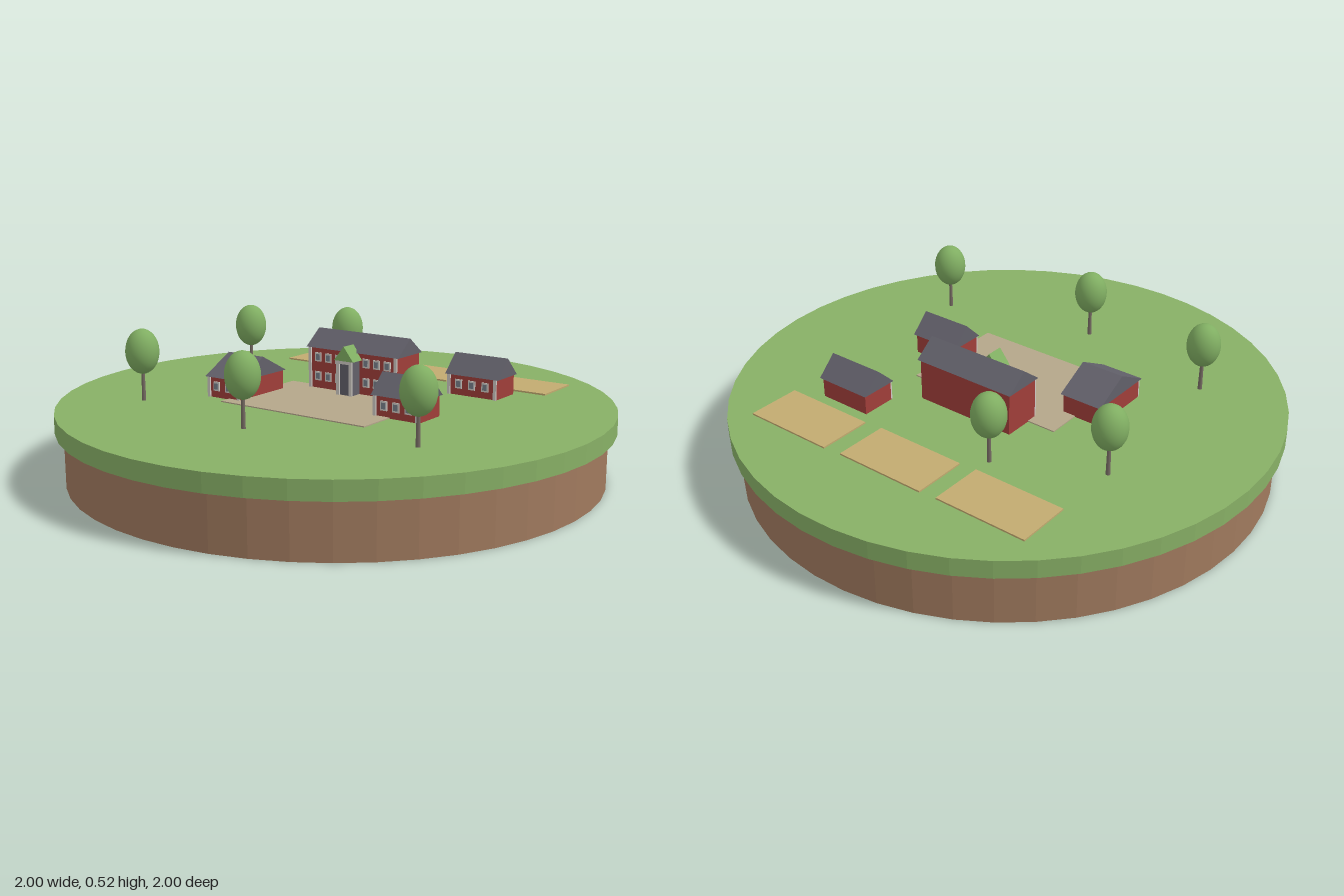
import * as THREE from 'three';

const GROUND = 0.262;
const YAW = -0.357; // the whole village is turned the same way

const material = (name, color) => {
  const m = new THREE.MeshStandardMaterial({ color });
  m.name = name;
  return m;
};

export function createModel() {
  const mats = {
    grass: material('grass green', 0x88b066),
    earth: material('earth brown', 0xa07a5e),
    brick: material('brick red', 0xa03e3a),
    roof: material('slate grey', 0x62606a),
    trim: material('pale trim', 0xcfcac4),
    glass: material('window grey', 0x77808a),
    field: material('straw', 0xc2ab70),
    paving: material('paving', 0xb4a68a),
    bark: material('bark', 0x756a62),
    leaf: material('leaf green', 0x80ae62),
  };
  const model = new THREE.Group();
  model.name = 'villageIsland';

  const add = (parent, name, geometry, mat, x = 0, y = 0, z = 0) => {
    const mesh = new THREE.Mesh(geometry, mat);
    mesh.name = name;
    mesh.position.set(x, y, z);
    parent.add(mesh);
    return mesh;
  };
  const box = (parent, name, w, h, d, mat, x, y, z) =>
    add(parent, name, new THREE.BoxGeometry(w, h, d), mat, x, y + h / 2, z);

  // Faceted disc standing on y
  const disc = (name, r, h, mat, y) => {
    const g = new THREE.CylinderGeometry(r, r, h, 48).toNonIndexed();
    g.computeVertexNormals();
    add(model, name, g, mat, 0, y + h / 2, 0);
  };
  disc('earthBase', 0.97, 0.196, mats.earth, 0);
  disc('grassTop', 1, GROUND - 0.196, mats.grass, 0.196);

  // Solid gable roof, ridge along z
  const gable = (w, h, d) => {
    const s = new THREE.Shape();
    s.moveTo(-w / 2, 0);
    s.lineTo(w / 2, 0);
    s.lineTo(0, h);
    s.closePath();
    return new THREE.ExtrudeGeometry(s, { depth: d, bevelEnabled: false }).translate(0, 0, -d / 2);
  };

  // Flat plots: the courtyard and the fields
  const plot = (name, x, z, w, d, h, mat) => {
    box(model, name, w, h, d, mat, x, GROUND, z).rotation.y = YAW;
  };
  plot('courtyard', -0.02, 0.065, 0.625, 0.42, 0.004, mats.paving);
  [[-0.19, -0.695], [0.2, -0.555], [0.595, -0.415]].forEach(([x, z], i) =>
    plot('field' + (i + 1), x, z, 0.35, 0.2, 0.006, mats.field));

  // Brick house with windows and corner strips on its front
  const house = (name, x, z, w, d, wallH, roofH, columns, rows) => {
    const g = new THREE.Group();
    g.name = name;
    g.position.set(x, GROUND, z);
    g.rotation.y = YAW;
    model.add(g);
    const over = 0.008;
    box(g, 'walls', w - 2 * over, wallH, d - 2 * over, mats.brick, 0, 0, 0);
    add(g, 'roof', gable(d, roofH, w), mats.roof, 0, wallH, 0).rotation.y = Math.PI / 2;
    const front = d / 2 - over;
    for (const side of [-1, 1])
      box(g, 'cornerStrip', 0.012, wallH, 0.006, mats.trim, side * (w / 2 - over - 0.006), 0, front + 0.003);
    for (const cx of columns) for (const cy of rows) {
      box(g, 'windowFrame', 0.028, 0.034, 0.004, mats.trim, cx, cy - 0.017, front + 0.002);
      box(g, 'windowPane', 0.017, 0.022, 0.002, mats.glass, cx, cy - 0.011, front + 0.005);
    }
    return g;
  };
  const main = house('mainHouse', 0.06, -0.165, 0.41, 0.16, 0.157, 0.062,
    [-0.155, -0.108, -0.062, 0.062, 0.108, 0.155], [0.05, 0.122]);
  house('leftHouse', -0.35, -0.015, 0.165, 0.265, 0.075, 0.07, [-0.034, 0.022], [0.042]);
  house('rightHouse', 0.3, 0.18, 0.2, 0.145, 0.075, 0.07, [-0.05, 0, 0.05], [0.042]);
  house('backHouse', 0.49, -0.23, 0.22, 0.145, 0.075, 0.07, [-0.055, 0, 0.055], [0.042]);

  // Entrance porch with a green gable
  const porch = new THREE.Group();
  porch.name = 'porch';
  porch.position.set(0, 0, 0.095);
  main.add(porch);
  box(porch, 'porchBody', 0.064, 0.132, 0.05, mats.roof, 0, 0, 0);
  for (const side of [-1, 1])
    box(porch, 'porchPost', 0.012, 0.132, 0.008, mats.trim, side * 0.028, 0, 0.027);
  box(porch, 'porchLintel', 0.068, 0.012, 0.008, mats.trim, 0, 0.12, 0.027);
  add(porch, 'porchRoof', gable(0.086, 0.054, 0.062), mats.leaf, 0, 0.132, 0.002);

  // Trees
  [[-0.475, -0.43], [-0.085, -0.475], [-0.665, 0.2], [-0.18, 0.49], [0.42, 0.56]].forEach(([x, z], i) => {
    const tree = new THREE.Group();
    tree.name = 'tree' + (i + 1);
    tree.position.set(x, GROUND, z);
    model.add(tree);
    add(tree, 'trunk', new THREE.CylinderGeometry(0.006, 0.008, 0.12, 8), mats.bark, 0, 0.06, 0);
    add(tree, 'crown', new THREE.SphereGeometry(0.061, 24, 16).scale(1, 1.34, 1), mats.leaf, 0, 0.18, 0);
  });

  return model;
}
